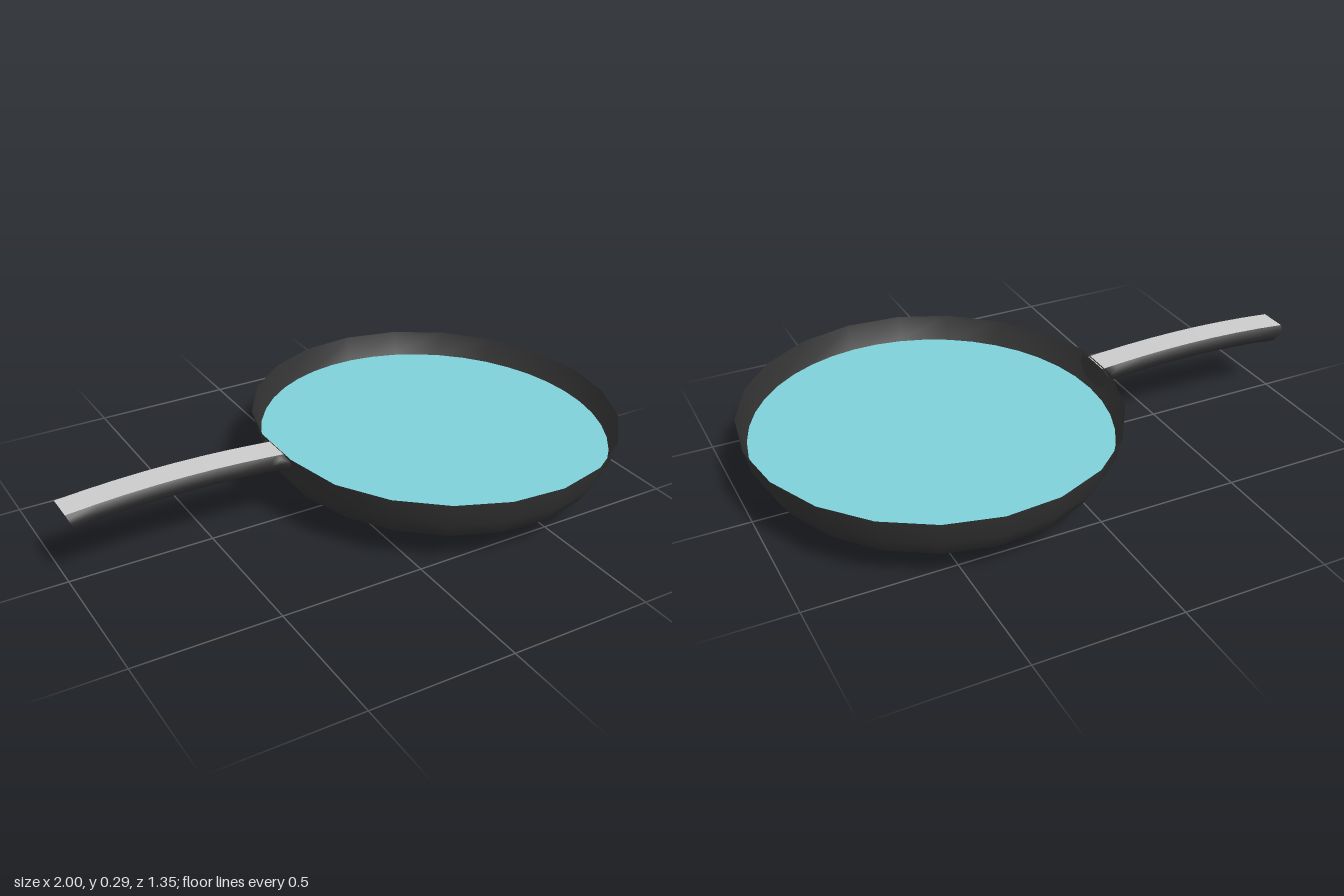
import * as THREE from 'three';

const CX = 0.37, SQUASH = 0.933, SIDES = 21;
const paint = (color) => new THREE.MeshStandardMaterial({ color, side: THREE.DoubleSide });

// Surface through a row of equally long cross-sections, optionally capped at both ends
function loft(sections, capped) {
  const n = sections[0].length, pos = [], idx = [];
  sections.forEach((s) => s.forEach((p) => pos.push(...p)));
  for (let i = 0; i < sections.length - 1; i++)
    for (let j = 0; j < n - 1; j++) {
      const a = i * n + j, b = a + n;
      idx.push(a, a + 1, b, b, a + 1, b + 1);
    }
  if (capped) [0, sections.length - 1].forEach((row, end) => {
    const start = pos.length / 3;
    sections[row].forEach((p) => pos.push(...p));
    for (let j = 1; j < n - 1; j++)
      idx.push(start, start + (end ? j : j + 1), start + (end ? j + 1 : j));
  });
  const g = new THREE.BufferGeometry();
  g.setAttribute('position', new THREE.Float32BufferAttribute(pos, 3));
  g.setIndex(idx);
  g.computeVertexNormals();
  return g;
}

export function createModel() {
  const pan = new THREE.Group();
  pan.name = 'fryingPan';
  const black = paint(0x333333), grey = paint(0xcccccc), blue = paint(0x7fd0da);
  const add = (name, geometry, material, parent = pan) => {
    const mesh = new THREE.Mesh(geometry, material);
    mesh.name = name;
    parent.add(mesh);
    return mesh;
  };

  // Bowl wall, with the rim rising gently towards the handle
  const profile = [[0.37, 0], [0.515, 0.055], [0.608, 0.113], [0.652, 0.18], [0.675, 0.265]]
    .map(([r, y]) => new THREE.Vector2(r, y));
  const wall = new THREE.LatheGeometry(profile, SIDES, Math.PI / 2);
  const p = wall.attributes.position;
  for (let i = 0; i < p.count; i++)
    if (p.getY(i) > 0.26 && p.getX(i) < 0)
      p.setY(i, 0.265 + 0.019 * Math.exp(-((p.getZ(i) / 0.19) ** 2)));
  wall.scale(SQUASH, 1, 1).translate(CX, 0, 0);
  add('bowlWall', wall, black);

  // Flat base
  const base = new THREE.CircleGeometry(0.37, SIDES).rotateX(Math.PI / 2);
  add('base', base.scale(SQUASH, 1, 1).translate(CX, 0.001, 0), black);

  // Radial inlay under the base
  const inlay = new THREE.Group();
  inlay.name = 'baseInlay';
  pan.add(inlay);
  for (let i = 0; i < SIDES; i++) {
    const a = (i / SIDES) * Math.PI * 2;
    const wedge = new THREE.CircleGeometry(0.24, 1, a, 0.13).rotateX(Math.PI / 2);
    add('inlayWedge', wedge.scale(SQUASH, 1, 1).translate(CX, 0, 0), grey, inlay);
  }

  // Cooking surface
  const surface = new THREE.CircleGeometry(0.643, 42).rotateX(-Math.PI / 2);
  add('cookingSurface', surface.scale(SQUASH, 1, 1).translate(CX, 0.18, 0), blue);

  // Arched handle: dark rounded body, slanted at the tip and flared at the bowl
  const half = [[0.05, 0], [0.062, -0.01], [0.062, -0.03], [0.048, -0.056], [0.022, -0.073]];
  const outline = [...half, ...half.map(([z, y]) => [-z, y]).reverse()];
  const body = [], strip = [];
  const xs = [-1, -0.9, -0.8, -0.7, -0.6, -0.5, -0.4, -0.3, -0.27, -0.248];
  xs.forEach((x, i) => {
    const top = 0.292 - 0.018 * ((x + 0.62) / 0.38) ** 2;
    const slant = i === 0 ? 0.03 : i === xs.length - 1 ? 0.012 : 0;
    const flare = i === xs.length - 1 ? 1.5 : 1;
    body.push(outline.map(([z, y]) => [x - slant * (y / 0.073), top + y, y ? z * flare : z]));
    strip.push([[x, top, -0.05], [x, top, 0.05]]);
  });
  const handle = new THREE.Group();
  handle.name = 'handle';
  pan.add(handle);
  add('handleBody', loft(body, true), black, handle);
  add('handleTopStrip', loft(strip, false), grey, handle);
  return pan;
}
